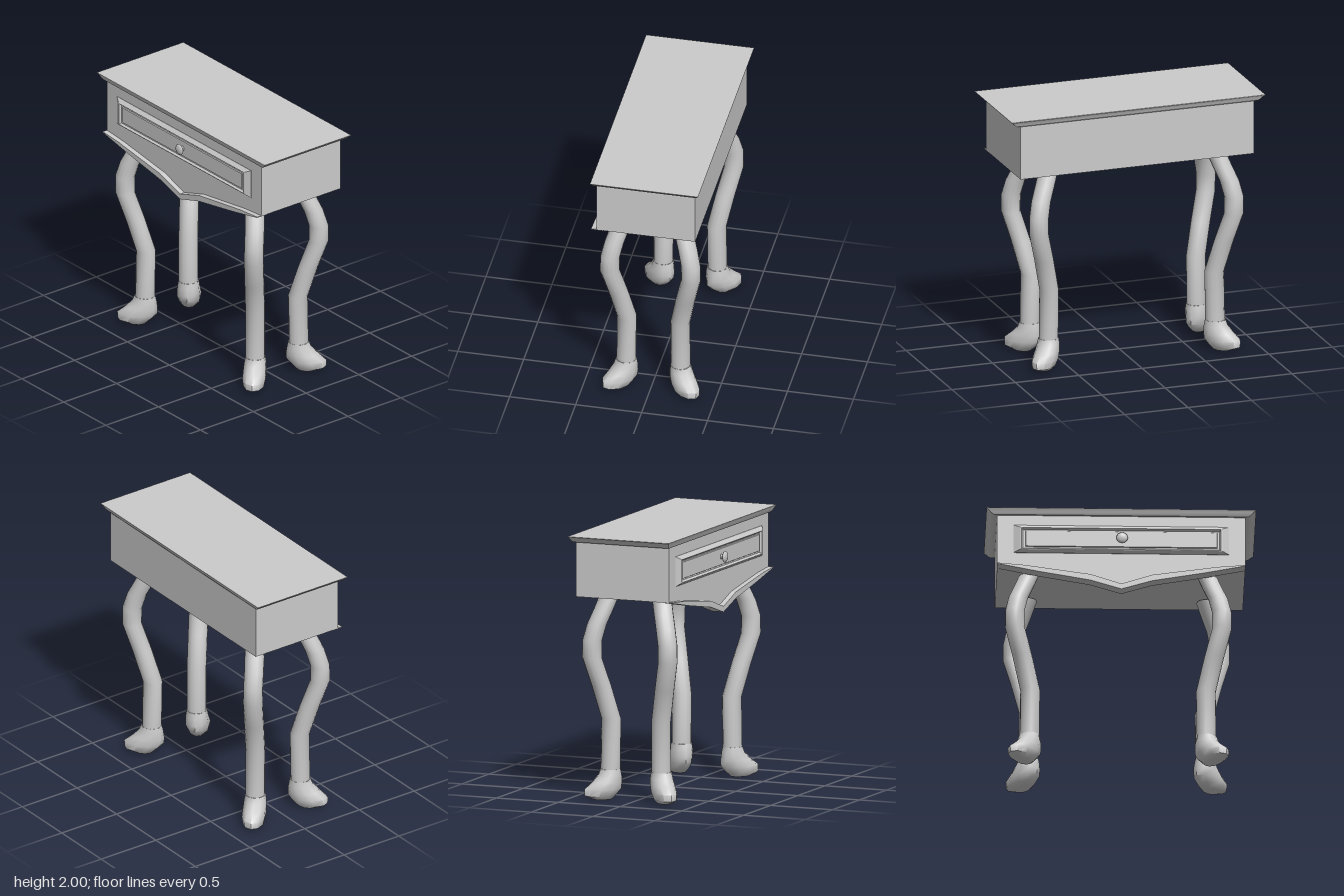
import * as THREE from 'three';
import { toCreasedNormals } from 'three/addons/utils/BufferGeometryUtils.js';

const material = new THREE.MeshStandardMaterial({ color: 0xcccccc });

function add(parent, name, geometry) {
  const mesh = new THREE.Mesh(geometry, material);
  mesh.name = name;
  parent.add(mesh);
  return mesh;
}

// Skin a list of convex rings (counter-clockwise around the direction of travel), capped at both ends
function loft(rings, crease) {
  const n = rings[0].length, last = (rings.length - 1) * n, index = [];
  for (let r = 0; r < rings.length - 1; r++) {
    for (let i = 0; i < n; i++) {
      const a = r * n + i, b = r * n + (i + 1) % n;
      index.push(a, b, b + n, a, b + n, a + n);
    }
  }
  for (let i = 1; i < n - 1; i++) {
    index.push(0, i + 1, i, last, last + i, last + i + 1);
  }
  const g = new THREE.BufferGeometry();
  g.setAttribute('position', new THREE.Float32BufferAttribute(rings.flat(2), 3));
  g.setIndex(index);
  return toCreasedNormals(g, crease);
}

function extrude(points, depth, z) {
  const shape = new THREE.Shape(points.map(p => new THREE.Vector2(...p)));
  return new THREE.ExtrudeGeometry(shape, { depth, bevelEnabled: false }).translate(0, 0, z);
}

// Leg rows: height, distance of the centre from the middle in x and in z
const legRows = [
  [0.2, 0.657, 0.206], [0.6, 0.652, 0.202], [0.85, 0.71, 0.255], [1.07, 0.768, 0.307],
  [1.2, 0.768, 0.305], [1.32, 0.742, 0.278], [1.42, 0.702, 0.245], [1.52, 0.665, 0.215],
];
// Foot rows: height, shift toward the toe, half length, half width
const footRows = [
  [0, 0.06, 0.07, 0.05], [0.03, 0.08, 0.125, 0.08], [0.08, 0.057, 0.15, 0.09],
  [0.13, 0.025, 0.12, 0.088], [0.18, 0.004, 0.092, 0.084], [0.225, 0, 0.078, 0.076],
];

// Elliptical horizontal ring whose long axis points to the corner (sx, sz)
function ring(sx, sz, x, y, z, a, b, sides) {
  const k = Math.SQRT1_2, u = [sx * k, sz * k], v = [u[1], -u[0]];
  return Array.from({ length: sides }, (_, i) => {
    const t = i / sides * Math.PI * 2, c = a * Math.cos(t), s = b * Math.sin(t);
    return [x + u[0] * c + v[0] * s, y, z + u[1] * c + v[1] * s];
  });
}

function makeLeg(sx, sz) {
  const leg = new THREE.Group();
  const ox = -0.02, oz = -0.013;
  add(leg, 'legShaft', loft(legRows.map(([y, x, z]) =>
    ring(sx, sz, ox + sx * x, y, oz + sz * z, 0.073, 0.073, 14)), 0.9));
  add(leg, 'foot', loft(footRows.map(([y, s, a, b]) => {
    const d = s * Math.SQRT1_2;
    return ring(sx, sz, ox + sx * (0.657 + d), y, oz + sz * (0.206 + d), a, b, 10);
  }), 0.9));
  return leg;
}

export function createModel() {
  const table = new THREE.Group();
  table.name = 'sideTable';

  // Table top with a moulded edge: height, half width, back, front
  const topRows = [
    [1.95, 0.92, -0.39, 0.36], [1.953, 0.945, -0.4, 0.37], [1.965, 0.965, -0.41, 0.378],
    [1.985, 0.982, -0.418, 0.385], [1.997, 1, -0.427, 0.392], [2, 1, -0.427, 0.392],
  ];
  add(table, 'tableTop', loft(topRows.map(([y, x, b, f]) =>
    [[x, y, f], [x, y, b], [-x, y, b], [-x, y, f]]), 0.3));

  // Case
  add(table, 'case', new THREE.BoxGeometry(1.84, 0.41, 0.75).translate(0, 1.745, -0.015));

  // Drawer front, stepped from the outer bevel to the inner panel: z, half width, bottom, top
  const drawerRows = [
    [0.355, 0.8, 1.645, 1.87], [0.362, 0.8, 1.645, 1.87], [0.385, 0.75, 1.663, 1.845],
    [0.387, 0.74, 1.668, 1.84], [0.372, 0.73, 1.68, 1.828], [0.372, 0.712, 1.69, 1.82],
    [0.38, 0.708, 1.694, 1.816],
  ];
  add(table, 'drawerFront', loft(drawerRows.map(([z, x, b, t]) =>
    [[-x, b, z], [x, b, z], [x, t, z], [-x, t, z]]), 0.1));

  // Knob
  const knobProfile = [[0, 0], [0.022, 0], [0.016, 0.008], [0.016, 0.018], [0.036, 0.024],
    [0.043, 0.031], [0.036, 0.04], [0.02, 0.046], [0, 0.048]].map(p => new THREE.Vector2(...p));
  add(table, 'drawerKnob', new THREE.LatheGeometry(knobProfile, 20)
    .rotateX(Math.PI / 2).translate(0.005, 1.755, 0.378));

  // Pointed apron with a moulding along its lower edge
  const upper = [[-0.92, 1.545], [-0.72, 1.528], [-0.23, 1.458], [0, 1.383],
    [0.23, 1.458], [0.72, 1.528], [0.92, 1.545]];
  const lower = [[0.92, 1.538], [0.62, 1.478], [0.23, 1.41], [0, 1.34],
    [-0.23, 1.41], [-0.62, 1.478], [-0.92, 1.538]];
  add(table, 'apronMoulding', extrude([...upper].reverse().concat([...lower].reverse()), 0.09, 0.31));
  add(table, 'apronPanel', extrude([...upper, [0.92, 1.55], [-0.92, 1.55]], 0.03, 0.33));

  // Legs
  for (const [sx, side] of [[1, 'Left'], [-1, 'Right']]) {
    for (const [sz, end] of [[1, 'front'], [-1, 'back']]) {
      const leg = makeLeg(sx, sz);
      leg.name = end + side + 'Leg';
      table.add(leg);
    }
  }
  return table;
}
